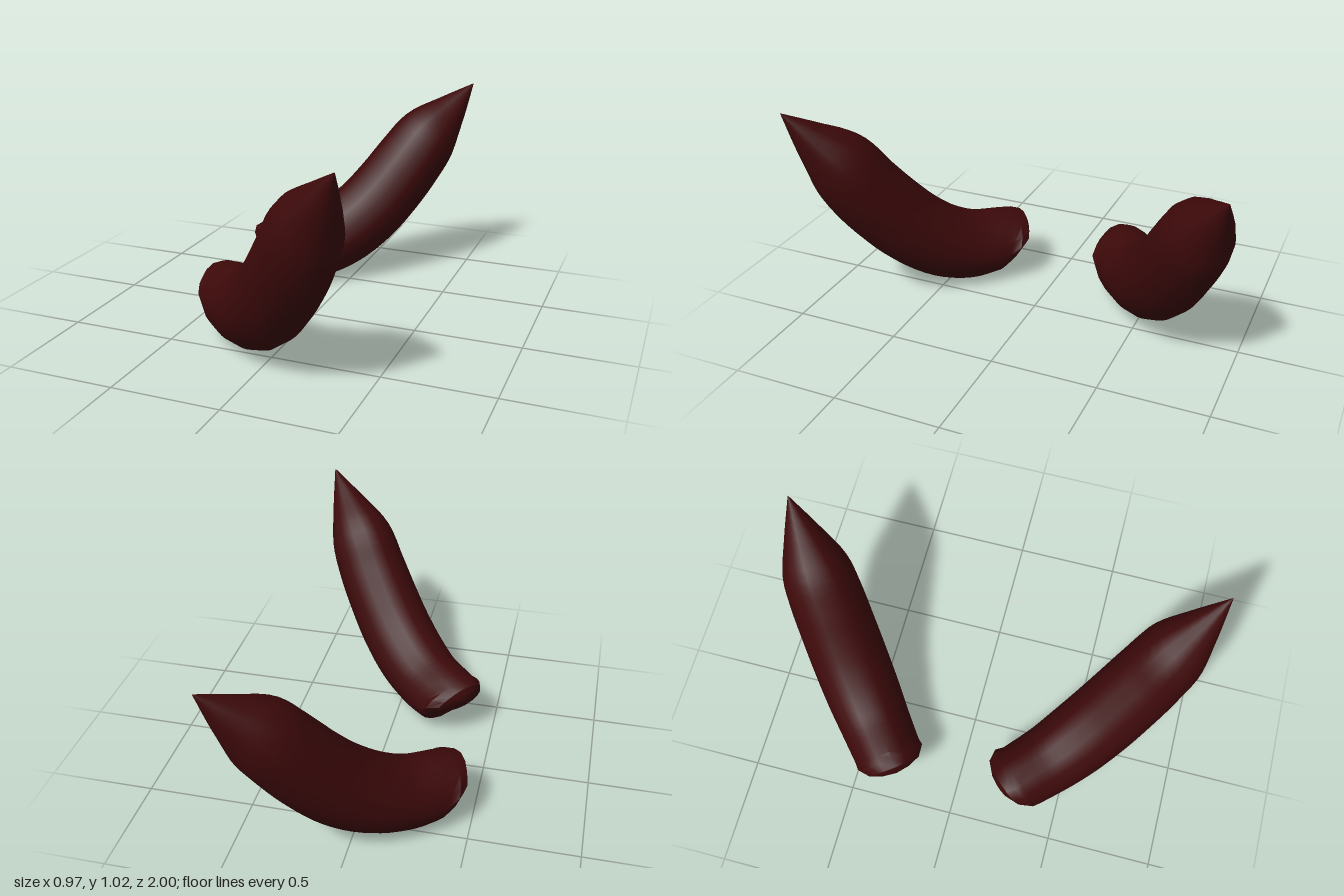
import * as THREE from 'three';
import { toCreasedNormals } from 'three/addons/utils/BufferGeometryUtils.js';

const SIDES = 16;

// Skin a row of rings; the first and last are nearly points and close the ends
function skin(rings) {
  const pos = [], idx = [];
  rings.forEach(r => r.forEach(p => pos.push(p.x, p.y, p.z)));
  for (let i = 0; i < rings.length - 1; i++) {
    for (let j = 0; j < SIDES; j++) {
      const a = i * SIDES + j, b = i * SIDES + (j + 1) % SIDES;
      idx.push(a, b, a + SIDES, b, b + SIDES, a + SIDES);
    }
  }
  const g = new THREE.BufferGeometry();
  g.setAttribute('position', new THREE.Float32BufferAttribute(pos, 3));
  g.setIndex(idx);
  return toCreasedNormals(g, 0.6);
}

// Curved horn in its own plane: x runs along it, y is up; drop lowers the tip
function hornGeometry(drop, phase) {
  // distance along, height, radius
  const stations = [
    [-0.02, 0.173, 0.166], [0.13, 0.184, 0.174], [0.28, 0.238, 0.183], [0.43, 0.342, 0.185],
    [0.555, 0.47, 0.182], [0.665, 0.605, 0.176], [0.765, 0.755 - drop * 0.5, 0.158],
    [0.885, 0.892 - drop * 0.75, 0.085], [1.005, 1.03 - drop, 0.001],
  ];
  const curve = new THREE.CatmullRomCurve3(stations.map(s => new THREE.Vector3(...s)));
  // rv is the radius in the plane, rh the radius across it
  const ring = (c, t, rv, rh, rough) => Array.from({ length: SIDES }, (_, j) => {
    const a = j / SIDES * Math.PI * 2;
    // softly four-ridged section, uneven near the broken end
    const q = 1 + 0.02 * Math.cos(4 * a) + rough * Math.sin(3 * a + phase);
    const n = Math.cos(a) * q * rv;
    return new THREE.Vector3(c.x - t.y * n, c.y + t.x * n, Math.sin(a) * q * rh);
  });

  // Broken stub at the base, facing slightly down: distance, height, two radii, roughness
  const t0 = new THREE.Vector2(0.94, 0.34);
  const rings = [
    [-0.16, 0.236, 0.001, 0.001, 0], [-0.15, 0.234, 0.045, 0.065, 0.08],
    [-0.122, 0.224, 0.085, 0.125, 0.08], [-0.065, 0.203, 0.124, 0.163, 0.05],
  ].map(([x, y, rv, rh, rough]) => ring({ x, y }, t0, rv, rh, rough));

  // Smooth body and pointed tip
  const N = 32;
  for (let i = 0; i <= N; i++) {
    const u = i / N, p = curve.getPoint(u), d = curve.getTangent(u);
    const w = Math.min(1, u / 0.15);
    const t = new THREE.Vector2(d.x, d.y).normalize().lerp(t0, 1 - w).normalize();
    rings.push(ring(p, t, p.z, p.z * 0.97, 0.03 * (1 - w)));
  }
  return skin(rings);
}

export function createModel() {
  const group = new THREE.Group();
  const material = new THREE.MeshStandardMaterial({ color: 0x3d090a });
  // One horn sweeps forward, the other backward
  const horns = [
    { name: 'frontHorn', x: -0.255, z: 0.32, dx: 0.73, dz: 0.68, drop: 0, phase: 0.4 },
    { name: 'backHorn', x: -0.3, z: -0.375, dx: 0.79, dz: -0.615, drop: 0.045, phase: 1.7 },
  ];
  for (const h of horns) {
    const mesh = new THREE.Mesh(hornGeometry(h.drop, h.phase), material);
    mesh.name = h.name;
    mesh.position.set(h.x, 0, h.z);
    mesh.rotation.y = Math.atan2(-h.dz, h.dx);
    group.add(mesh);
  }
  return group;
}
